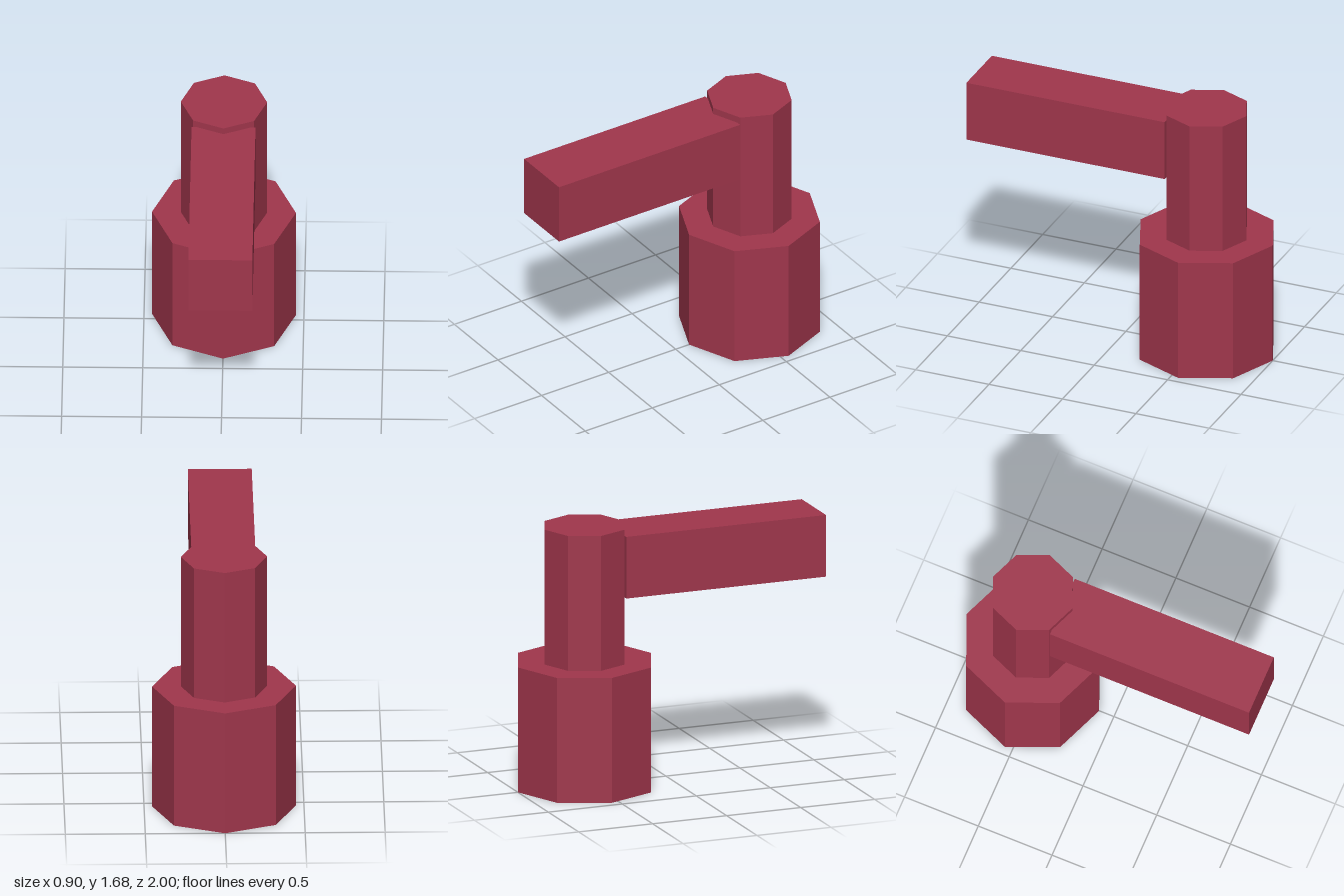
import * as THREE from 'three';

export function createModel() {
  const model = new THREE.Group();
  const red = new THREE.MeshStandardMaterial({ color: 0xa0364c, flatShading: true });
  red.name = 'dark red';

  const add = (name, geometry, y, z) => {
    const mesh = new THREE.Mesh(geometry, red);
    mesh.name = name;
    mesh.position.set(0, y, z);
    model.add(mesh);
  };

  // Upright octagonal prism between two heights, with a corner facing the front
  const axisZ = -0.55;
  const prism = (name, radius, bottom, top) =>
    add(name, new THREE.CylinderGeometry(radius, radius, top - bottom, 8), (top + bottom) / 2, axisZ);

  prism('base', 0.45, 0, 0.81);
  prism('post', 0.27, 0.81, 1.685);

  // Square arm reaching forward from inside the post
  const armBack = -0.35, armFront = 1;
  add('arm', new THREE.BoxGeometry(0.4, 0.4, armFront - armBack), 1.44, (armFront + armBack) / 2);

  return model;
}
